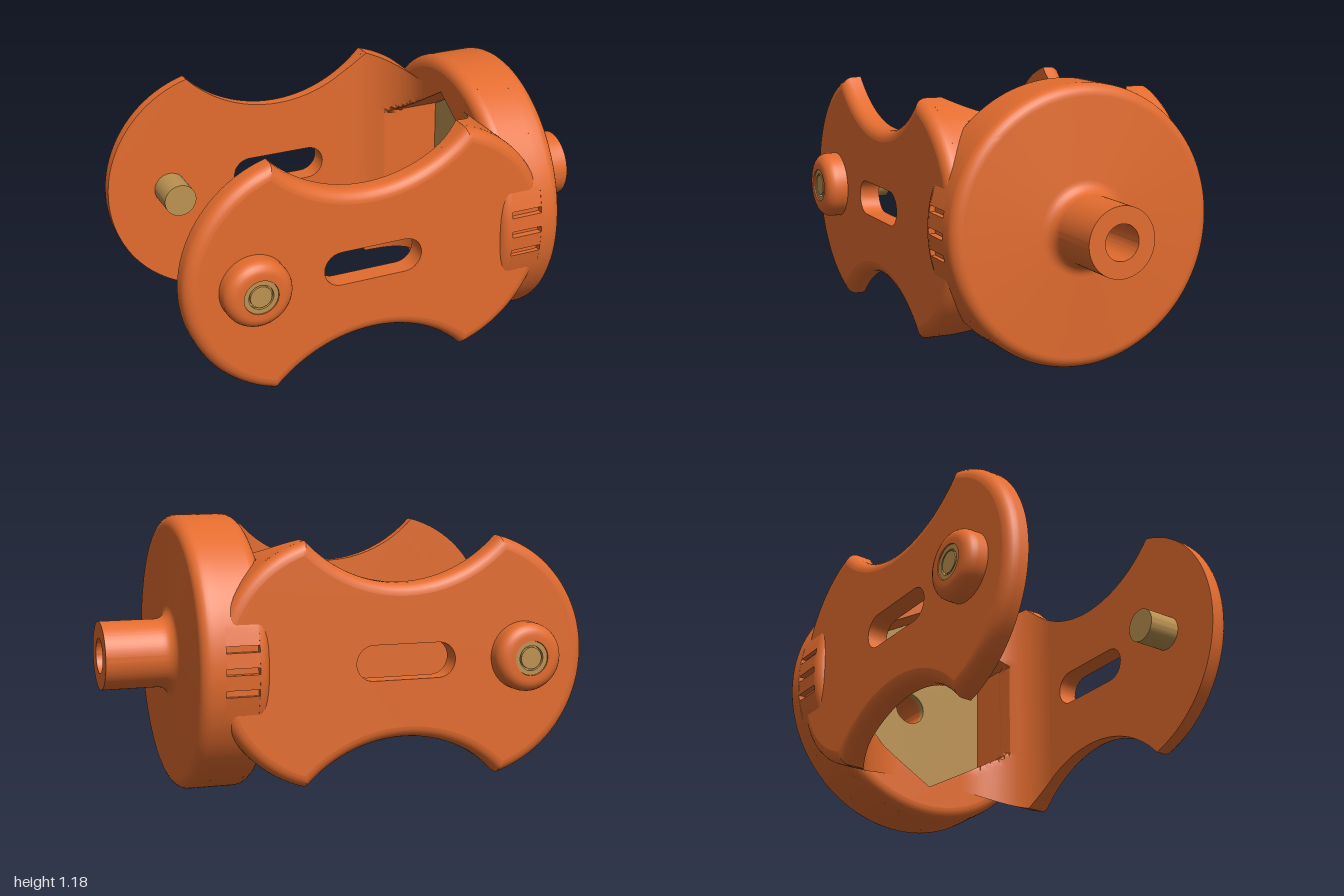
import * as THREE from 'three';
import { mergeGeometries, toCreasedNormals } from 'three/addons/utils/BufferGeometryUtils.js';

const V = (x, y) => new THREE.Vector2(x, y);
const CENTRE = 0.59; // height of the main axis
const R = 0.59; // end cap radius
const TIP = 1.303, ARM_R = 0.529, HOLLOW_R = 0.592, HOLLOW_Y = 0.917; // arm outline arcs
const NUT_R = 0.45;
const PIVOT_X = -0.71;

// points on an arc, last one left out so arcs can be chained
function arc(cx, cy, r, a0, a1, n) {
  return Array.from({ length: n }, (_, i) => {
    const a = a0 + (a1 - a0) * i / n;
    return V(cx + r * Math.cos(a), cy + r * Math.sin(a));
  });
}

// skin through closed rings of [x, y, z]
function loft(rings) {
  const pos = [];
  for (let i = 0; i + 1 < rings.length; i++) {
    const a = rings[i], b = rings[i + 1], n = a.length;
    for (let j = 0; j < n; j++) {
      const k = (j + 1) % n;
      pos.push(...a[j], ...a[k], ...b[k], ...a[j], ...b[k], ...b[j]);
    }
  }
  const g = new THREE.BufferGeometry();
  g.setAttribute('position', new THREE.Float32BufferAttribute(pos, 3));
  return toCreasedNormals(g, 0.5);
}

// move a counter-clockwise outline inward with mitred corners
function inset(pts, d) {
  const n = pts.length;
  const normal = (a, b) => V(a.y - b.y, b.x - a.x).normalize();
  return pts.map((p, i) => {
    const n1 = normal(pts[(i + n - 1) % n], p), n2 = normal(p, pts[(i + 1) % n]);
    const f = d / (1 + n1.dot(n2));
    return V(p.x + (n1.x + n2.x) * f, p.y + (n1.y + n2.y) * f);
  });
}

// slab with a hole, rounded only along its upper outer edge (outline symmetric in y)
function slab(outline, hole, z0, z1, round) {
  const ring = (pts, z) => pts.map(p => [p.x, p.y, z]);
  const rings = [ring(outline, z0)];
  let top = outline;
  if (round) {
    for (let i = 0; i <= 6; i++) {
      const a = i / 6 * Math.PI / 2;
      top = inset(outline, round * (1 - Math.cos(a)));
      rings.push(ring(top, z1 - round + round * Math.sin(a)));
    }
  } else rings.push(ring(outline, z1));
  const cap = pts => {
    const s = new THREE.Shape(pts);
    s.holes.push(new THREE.Path(hole));
    return new THREE.ShapeGeometry(s).toNonIndexed();
  };
  const back = [...hole].reverse();
  const parts = [
    loft(rings), loft([ring(back, z0), ring(back, z1)]),
    cap(top).translate(0, 0, z1), cap(outline).rotateX(Math.PI).translate(0, 0, z0),
  ];
  parts.forEach(g => g.deleteAttribute('uv'));
  return mergeGeometries(parts);
}

// turned part, axis along y
const turned = (pts, sides) =>
  toCreasedNormals(new THREE.LatheGeometry(pts, sides).toNonIndexed(), 0.5);

// arm half height at x
const armHeight = x => x < 0.25
  ? HOLLOW_Y - Math.sqrt(HOLLOW_R ** 2 - (x + 0.18) ** 2)
  : Math.sqrt(ARM_R ** 2 - (x - 0.11) ** 2);

// curved web that joins an arm to the end cap, leaving the nut pocket clear
function webGeometry() {
  const stations = [];
  for (let i = 0; i <= 20; i++) {
    const a = Math.PI / 2 * (1 - i / 20);
    stations.push([0.12 + 0.29 * Math.cos(a), 0.18 + 0.29 * Math.sin(a)]);
  }
  for (const x of [0.42, 0.46, 0.5, 0.54, 0.58, 0.62]) stations.push([x, 0.395]);
  const steps = 48;
  return loft(stations.map(([x, z]) => {
    const h = armHeight(x), ring = [];
    for (let j = 0; j <= steps; j++) {
      const y = h * (2 * j / steps - 1);
      const pocket = 0.866 * NUT_R * Math.min(1, Math.max(0, (NUT_R - Math.abs(y)) / (NUT_R / 2)));
      ring.push([x, y, Math.max(z, pocket)]);
    }
    ring.push([x, h, 0.5], [x, -h, 0.5]);
    return ring;
  }));
}

export function createModel() {
  const orange = new THREE.MeshStandardMaterial({ color: 0xe36c2f });
  orange.name = 'orange';
  const brass = new THREE.MeshStandardMaterial({ color: 0xbc9252 });
  brass.name = 'brass';
  const model = new THREE.Group();
  model.name = 'forkBracket';
  const add = (parent, name, geometry, material) => {
    const m = new THREE.Mesh(geometry, material);
    m.name = name;
    parent.add(m);
  };

  // arm outline with hollowed top and bottom, and its long slot
  const h = Math.atan2(0.407, 0.43), P = Math.PI;
  const armOutline = [
    ...arc(0.11, 0, ARM_R, -TIP, TIP, 40),
    ...arc(-0.18, HOLLOW_Y, HOLLOW_R, -h, h - P, 32),
    ...arc(-0.47, 0, ARM_R, P - TIP, P + TIP, 40),
    ...arc(-0.18, -HOLLOW_Y, HOLLOW_R, P - h, h, 32),
  ];
  const slot = [
    ...arc(-0.035, 0, 0.075, -P / 2, P / 2, 14), V(-0.035, 0.075),
    ...arc(-0.325, 0, 0.075, P / 2, P * 1.5, 14), V(-0.325, -0.075),
  ];
  const armGeo = slab(armOutline, slot, 0.47, 0.56, 0.05);
  const webGeo = webGeometry();

  // round boss and pivot pin
  const bossGeo = turned([
    V(0.074, 0.54), V(0.147, 0.54), V(0.147, 0.6), ...arc(0.097, 0.6, 0.05, 0, P / 2, 6),
    V(0.097, 0.65), V(0.074, 0.65), V(0.074, 0.54),
  ], 64).rotateX(P / 2).translate(PIVOT_X, 0, 0);
  const pinGeo = turned([
    V(0, 0.325), V(0.073, 0.325), V(0.073, 0.645), V(0.053, 0.645),
    V(0.053, 0.63), V(0.046, 0.63), V(0.046, 0.645), V(0, 0.645),
  ], 64).rotateX(P / 2).translate(PIVOT_X, 0, 0);

  for (const [name, turn] of [['frontArm', 0], ['backArm', P]]) {
    const side = new THREE.Group();
    side.name = name;
    side.rotation.x = turn;
    add(side, 'armPlate', armGeo, orange);
    add(side, 'armWeb', webGeo, orange);
    add(side, 'pivotBoss', bossGeo, orange);
    add(side, 'pivotPin', pinGeo, brass);
    model.add(side);
  }

  // end cap: rounded lip, grooved band and turned front with hub
  const hex = r => arc(0, 0, r, P / 2, P * 2.5, 6);
  add(model, 'capLip',
    slab(arc(0, 0, R, 0, P * 2, 192), hex(NUT_R), -0.46, -0.41, 0.05).rotateY(-P / 2), orange);

  const half = arc(0, 0, R, -P / 2, -0.3, 40);
  for (const c of [-0.09, 0, 0.09]) {
    const a = c - 0.014, b = c + 0.014;
    half.push(V(Math.sqrt(R * R - a * a), a), V(0.555, a), V(0.555, b), V(Math.sqrt(R * R - b * b), b));
  }
  half.push(...arc(0, 0, R, 0.3, P / 2, 40));
  const band = [...half, ...half.map(p => V(-p.x, -p.y))];
  add(model, 'gripBand', slab(band, hex(NUT_R), 0.46, 0.6, 0).rotateY(P / 2), orange);

  add(model, 'capAndHub', turned([
    V(0.075, 0.6), V(R, 0.6), V(R, 0.65), ...arc(0.54, 0.65, 0.05, 0, P / 2, 6), V(0.54, 0.7),
    ...arc(0.202, 0.755, 0.055, -P / 2, -P, 6), V(0.147, 0.755), V(0.147, 1),
    V(0.075, 1), V(0.075, 0.6),
  ], 192).rotateZ(-P / 2), orange);

  // nut set in the pocket
  add(model, 'nut',
    slab(hex(NUT_R - 0.002), arc(0, 0, 0.075, 0, P * 2, 40), 0.59, 0.62, 0).rotateY(P / 2), brass);

  model.children.forEach(c => { c.position.y = CENTRE; });
  return model;
}
